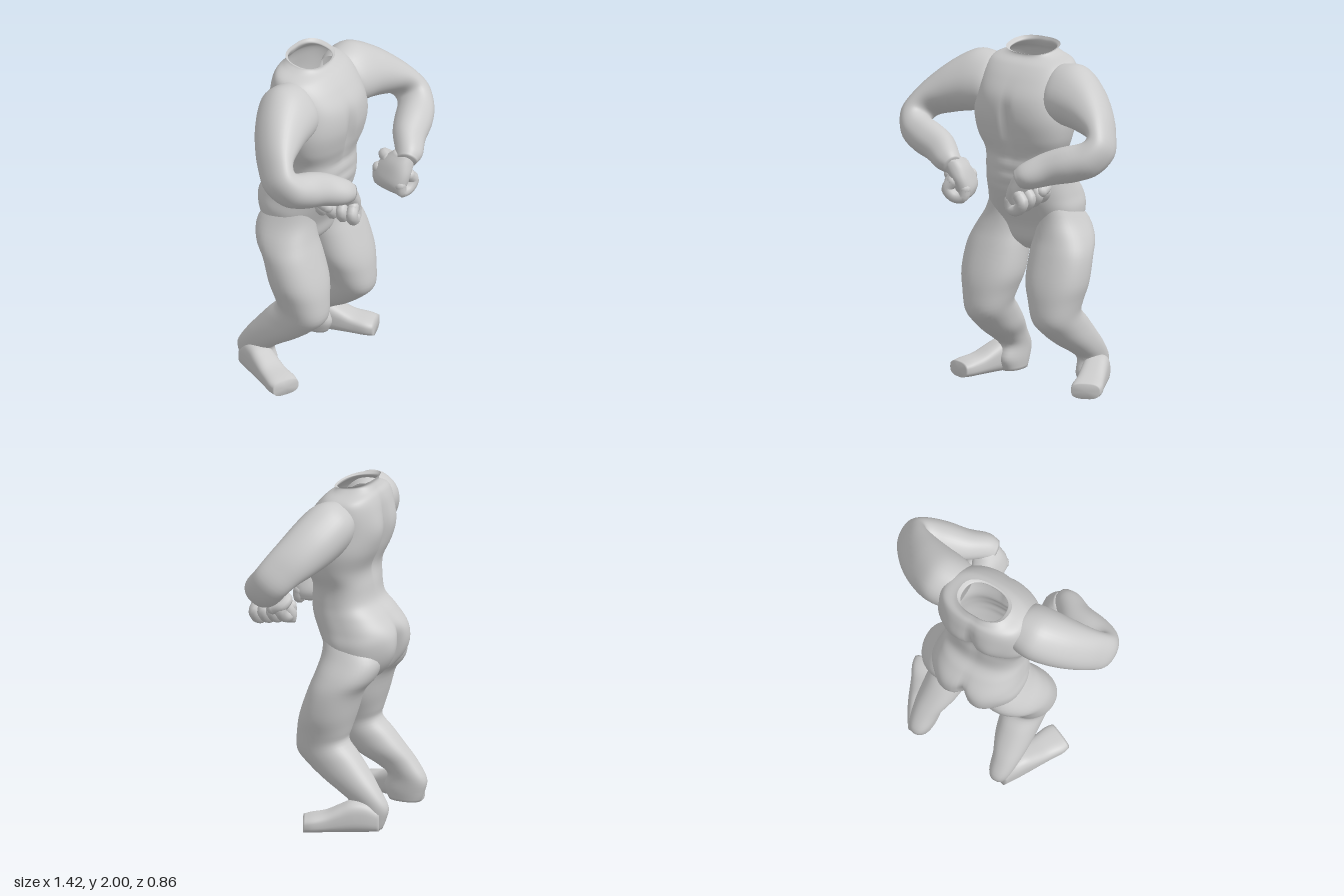
import * as THREE from 'three';

const V = (x, y, z) => new THREE.Vector3(x, y, z);
const material = new THREE.MeshStandardMaterial({ color: 0xcccccc, side: THREE.DoubleSide });

// Smooth skin through cross-sections. Each ring has two opposite points and a half-width vector.
function loft(rings, { segs = 40, steps = 4, power = 0.9, capStart = true, capEnd = true, shape } = {}) {
  const curve = key => new THREE.CatmullRomCurve3(rings.map(r => r[key]), false, 'catmullrom', 0.5);
  const fronts = curve('front'), backs = curve('back'), sides = curve('side');
  const rows = (rings.length - 1) * steps;
  const soft = v => Math.sign(v) * Math.pow(Math.abs(v), power);
  const pos = [], idx = [];
  for (let i = 0; i <= rows; i++) {
    const t = i / rows;
    const f = fronts.getPoint(t), b = backs.getPoint(t), s = sides.getPoint(t);
    const mid = f.clone().add(b).multiplyScalar(0.5);
    const half = f.clone().sub(mid);
    for (let j = 0; j < segs; j++) {
      const a = (j / segs) * Math.PI * 2;
      const p = mid.clone().addScaledVector(half, soft(Math.cos(a))).addScaledVector(s, soft(Math.sin(a)));
      if (shape) shape(p, Math.cos(a));
      pos.push(p.x, p.y, p.z);
      if (i < rows) {
        const k = i * segs + j, n = i * segs + (j + 1) % segs;
        idx.push(k, n, k + segs, n, n + segs, k + segs);
      }
    }
  }
  const cap = (row, flip) => {
    const c = pos.length / 3, m = V(0, 0, 0);
    for (let j = 0; j < segs; j++) m.add(V().fromArray(pos, (row * segs + j) * 3));
    pos.push(...m.divideScalar(segs).toArray());
    for (let j = 0; j < segs; j++) {
      const k = row * segs + j, n = row * segs + (j + 1) % segs;
      flip ? idx.push(c, n, k) : idx.push(c, k, n);
    }
  };
  if (capStart) cap(0, true);
  if (capEnd) cap(rows, false);
  const g = new THREE.BufferGeometry();
  g.setAttribute('position', new THREE.Float32BufferAttribute(pos, 3));
  g.setIndex(idx);
  g.computeVertexNormals();
  return g;
}

function add(parent, name, geometry) {
  const mesh = new THREE.Mesh(geometry, material);
  mesh.name = name;
  parent.add(mesh);
  return mesh;
}

const bell = (v, centre, width) => Math.exp(-(((v - centre) / width) ** 2));

// Muscle lines: breastbone, stomach folds, spine, shoulder blades and buttocks
function sculptTorso(p, facing) {
  const { x, y } = p, ax = Math.abs(x);
  if (facing > 0) {
    p.z -= 0.03 * bell(x, 0, 0.025) * bell(y, 1.56, 0.13);
    for (const fold of [1.2, 1.28, 1.36]) p.z -= 0.006 * bell(y, fold, 0.02) * bell(x, 0, 0.12);
  } else {
    p.z += 0.035 * bell(x, 0, 0.03) * bell(y, 1.65, 0.2);
    p.z -= 0.015 * bell(ax, 0.12, 0.07) * bell(y, 1.72, 0.12);
    p.z += 0.055 * bell(x, 0, 0.026) * bell(y, 0.98, 0.14);
    p.z -= 0.04 * bell(ax, 0.12, 0.09) * bell(y, 1.0, 0.13) * -facing;
  }
}

function torsoGeometry() {
  // front y, front z, back y, back z, half width
  const rings = [
    [0.80, -0.06, 0.82, -0.20, 0.05], [0.86, -0.01, 0.85, -0.275, 0.19],
    [0.95, 0.01, 0.93, -0.33, 0.26], [1.04, 0.05, 1.05, -0.365, 0.28],
    [1.12, 0.09, 1.13, -0.365, 0.265], [1.20, 0.12, 1.21, -0.31, 0.25],
    [1.28, 0.125, 1.28, -0.245, 0.24], [1.38, 0.12, 1.38, -0.225, 0.245],
    [1.48, 0.15, 1.48, -0.22, 0.285], [1.60, 0.175, 1.60, -0.27, 0.305],
    [1.72, 0.165, 1.72, -0.295, 0.29], [1.82, 0.11, 1.84, -0.285, 0.28],
    [1.89, 0.05, 1.91, -0.265, 0.25], [1.925, 0.0, 1.945, -0.24, 0.17],
    [1.945, -0.01, 1.975, -0.225, 0.135], [1.95, 0.0, 2.0, -0.23, 0.16],
  ].map(([fy, fz, by, bz, w]) => ({ front: V(0, fy, fz), back: V(0, by, bz), side: V(w, 0, 0) }));
  return loft(rings, { segs: 96, steps: 6, power: 0.82, capEnd: false, shape: sculptTorso });
}

// drift moves the ankle sideways
function legGeometry(drift) {
  // front y, front z, back y, back z, centre x, half width
  const rings = [
    [1.12, 0.015, 1.08, -0.24, 0.16, 0.085], [1.00, 0.015, 0.97, -0.325, 0.172, 0.135],
    [0.90, 0.035, 0.87, -0.305, 0.20, 0.168], [0.80, 0.07, 0.78, -0.235, 0.215, 0.185],
    [0.65, 0.12, 0.65, -0.195, 0.22, 0.185], [0.54, 0.14, 0.55, -0.165, 0.225, 0.155],
    [0.42, 0.14, 0.49, -0.155, 0.23, 0.13], [0.34, 0.065, 0.42, -0.22, 0.238, 0.118],
    [0.27, -0.03, 0.33, -0.295, 0.248, 0.107], [0.21, -0.13, 0.24, -0.365, 0.264, 0.085],
    [0.16, -0.19, 0.14, -0.425, 0.266, 0.07], [0.08, -0.17, 0.06, -0.41, 0.266, 0.065],
    [0.01, -0.20, 0.01, -0.39, 0.266, 0.055],
  ].map(([fy, fz, by, bz, cx, w]) => {
    const x = cx + drift * Math.max(0, 1 - fy / 0.6);
    return { front: V(x, fy, fz), back: V(x, by, bz), side: V(-w, 0, 0) };
  });
  return loft(rings, { power: 0.9, capStart: false });
}

function footGeometry(drift) {
  // distance from heel, top height, half width
  const rings = [
    [0.03, 0.12, 0.05], [0.1, 0.17, 0.065], [0.18, 0.18, 0.074], [0.25, 0.152, 0.078],
    [0.33, 0.115, 0.082], [0.41, 0.098, 0.09], [0.46, 0.085, 0.082],
  ].map(([d, top, w]) => {
    const x = 0.262 + drift + 0.38 * d, z = -0.405 + 0.925 * d;
    return { front: V(x, top, z), back: V(x, 0, z), side: V(-0.925 * w, 0, 0.38 * w) };
  });
  return loft(rings, { power: 0.7 });
}

// pull draws the forearm back towards the body
function armGeometry(pull) {
  // The bent arm lies in a tilted plane: p runs sideways, q down and forward, n out of the plane
  const point = (p, q, n) => V(p, 1.76 - 0.81 * q + 0.59 * n, -0.06 + 0.59 * q + 0.81 * n);
  // outer p, outer q, inner p, inner q, plane offset, half thickness
  const rings = [
    [0.18, -0.13, 0.18, 0.15, 0, 0.11], [0.25, -0.152, 0.22, 0.18, 0, 0.14],
    [0.36, -0.15, 0.28, 0.195, 0, 0.152],
    [0.485, -0.06, 0.37, 0.21, 0, 0.148], [0.59, 0.06, 0.46, 0.235, 0.005, 0.135],
    [0.665, 0.185, 0.54, 0.265, 0.015, 0.12], [0.712, 0.32, 0.56, 0.295, 0.02, 0.112],
    [0.66, 0.455, 0.53, 0.32, 0.03, 0.11], [0.56, 0.53, 0.44, 0.36, 0.05, 0.105],
    [0.44, 0.58, 0.34, 0.42, 0.07, 0.09], [0.34, 0.635, 0.25, 0.51, 0.1, 0.075],
    [0.27, 0.65, 0.21, 0.56, 0.1, 0.06],
  ].map(([op, oq, ip, iq, n, b]) => {
    const back = V(0, 0, -pull * Math.min(1, n / 0.08));
    return {
      front: point(op, oq, n).add(back), back: point(ip, iq, n).add(back), side: V(0, 0.59 * b, 0.81 * b),
    };
  });
  return loft(rings, { steps: 5, capStart: false });
}

// Fist resting at the hip, built around its own centre and turned inwards
function addHand(parent, pull, turn) {
  const hand = new THREE.Group();
  hand.name = 'fist';
  hand.position.set(0.23, 0, 0.3 - pull);
  hand.rotation.y = -turn;
  parent.add(hand);
  // Back of the hand: centre x, y, z, half depth, half breadth
  const rings = [
    [0.06, 1.37, 0.04, 0.06, 0.06], [0.03, 1.32, 0.02, 0.07, 0.09], [0.0, 1.26, 0, 0.065, 0.12],
    [-0.02, 1.2, -0.01, 0.06, 0.125], [-0.03, 1.15, -0.01, 0.035, 0.115],
  ].map(([x, y, z, a, b]) => ({ front: V(x - a, y, z), back: V(x + a, y, z), side: V(0, 0, -b) }));
  add(hand, 'palm', loft(rings, { segs: 32, power: 0.85 }));

  const digit = (name, points, radius) => {
    const curve = new THREE.CatmullRomCurve3(points);
    add(hand, name, new THREE.TubeGeometry(curve, 16, radius, 10));
    for (const end of [points[0], points[points.length - 1]]) {
      add(hand, name + 'End', new THREE.SphereGeometry(radius, 10, 8)).position.copy(end);
    }
  };
  // Four curled fingers side by side, then the thumb
  for (let i = 0; i < 4; i++) {
    const z = 0.085 - 0.06 * i, lift = 0.014 * i;
    digit('finger', [[-0.03, 1.2], [-0.02, 1.155], [0.03, 1.155], [0.07, 1.2], [0.04, 1.24]]
      .map(([x, y]) => V(x, y + lift, z)), 0.035);
  }
  digit('thumb', [V(0.0, 1.3, -0.05), V(0.03, 1.3, -0.11), V(0.07, 1.27, -0.1), V(0.085, 1.25, -0.05)], 0.034);
}

export function createModel() {
  const model = new THREE.Group();
  model.name = 'headlessBody';
  add(model, 'torso', torsoGeometry());

  for (const [name, sign, pull, turn, drift] of [['left', 1, 0, 0.2, 0.015], ['right', -1, 0.045, 0.4, -0.013]]) {
    const limbs = new THREE.Group();
    limbs.name = name + 'Limbs';
    limbs.scale.x = sign;
    add(limbs, name + 'Leg', legGeometry(drift));
    add(limbs, name + 'Foot', footGeometry(drift));
    add(limbs, name + 'Arm', armGeometry(pull));
    addHand(limbs, pull, turn);
    model.add(limbs);
  }
  return model;
}
